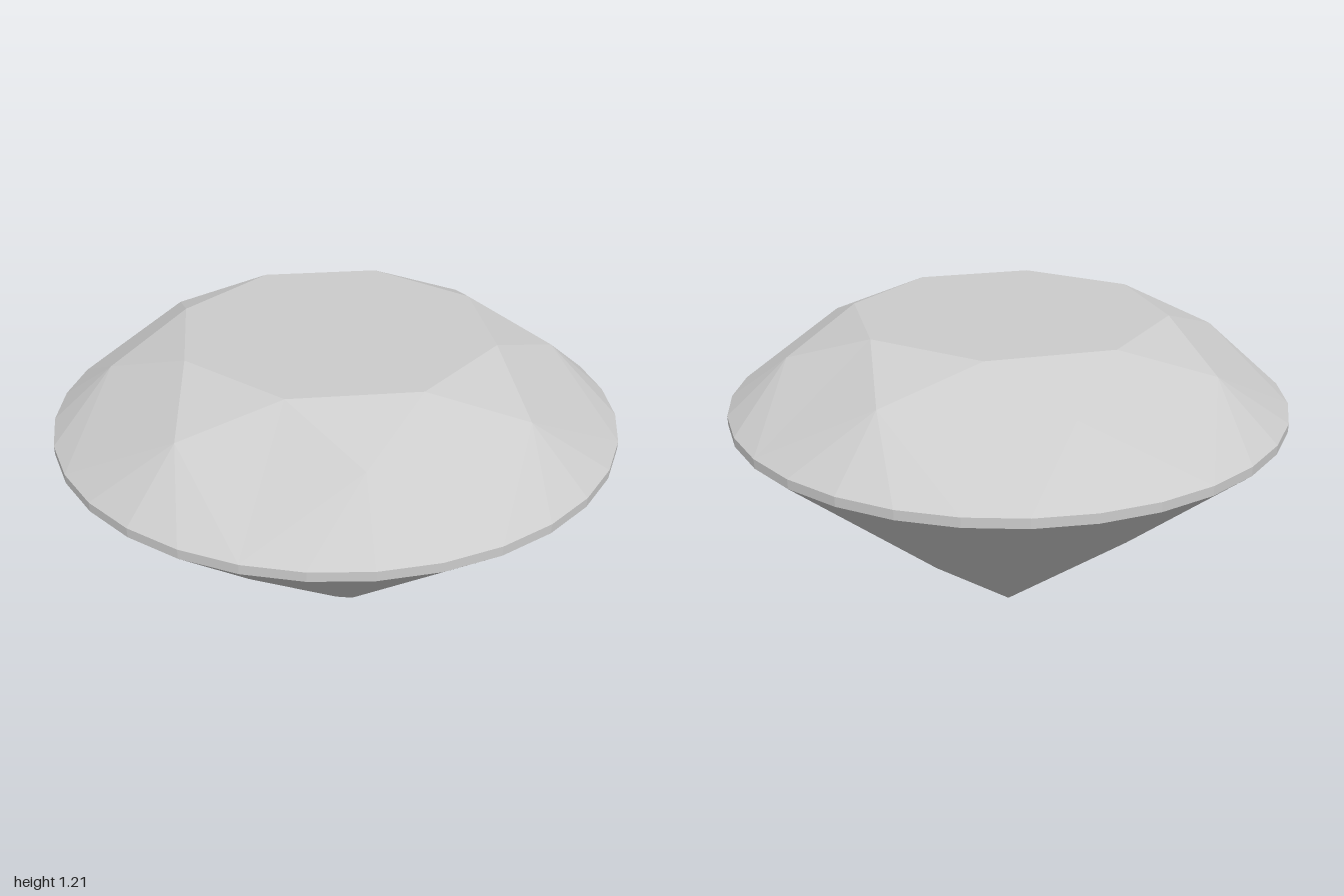
import * as THREE from 'three';

const STEP = Math.PI / 16;          // 32 girdle sides
const START = -STEP / 2;            // direction of the first main facet

// Point at radius r, height y, i girdle steps round from the first main facet
const ring = (r, y) => (i) => [r * Math.cos(START + i * STEP), y, r * Math.sin(START + i * STEP)];

const table = ring(0.564, 1.21);
const crownMid = ring(0.786, 1.099);
const girdleTop = ring(1.0048, 0.905);
const girdleBottom = ring(1.0048, 0.872);
const pavilionMid = ring(0.5, 0.401);
const culet = [0, 0, 0];

// Flat facets from convex polygons, each wound counter-clockwise from outside
function facetMesh(name, polygons, material) {
  const positions = [];
  for (const p of polygons) {
    for (let i = 1; i < p.length - 1; i++) positions.push(...p[0], ...p[i], ...p[i + 1]);
  }
  const geometry = new THREE.BufferGeometry();
  geometry.setAttribute('position', new THREE.Float32BufferAttribute(positions, 3));
  geometry.computeVertexNormals();
  const mesh = new THREE.Mesh(geometry, material);
  mesh.name = name;
  return mesh;
}

export function createModel() {
  const stone = new THREE.MeshStandardMaterial({ color: 0xcccccc });
  stone.name = 'pale stone';

  const tableFacet = [[]], stars = [], bezels = [], upperHalves = [];
  const girdle = [], lowerHalves = [], mains = [];

  for (let k = 0; k < 8; k++) {
    const i = k * 4;
    tableFacet[0].unshift(table(i));
    stars.push([table(i), table(i + 4), crownMid(i + 2)]);
    bezels.push([table(i), crownMid(i + 2), girdleTop(i), crownMid(i - 2)]);
    mains.push([girdleBottom(i), pavilionMid(i + 2), culet, pavilionMid(i - 2)]);
    // Four girdle sides between neighbouring mains
    for (let j = i; j < i + 4; j++) {
      upperHalves.push([crownMid(i + 2), girdleTop(j + 1), girdleTop(j)]);
      girdle.push([girdleTop(j), girdleTop(j + 1), girdleBottom(j + 1), girdleBottom(j)]);
      lowerHalves.push([girdleBottom(j), girdleBottom(j + 1), pavilionMid(i + 2)]);
    }
  }

  const model = new THREE.Group();
  model.name = 'cutGem';
  const crown = new THREE.Group();
  crown.name = 'crown';
  crown.add(
    facetMesh('table', tableFacet, stone),
    facetMesh('starFacets', stars, stone),
    facetMesh('bezelFacets', bezels, stone),
    facetMesh('upperHalfFacets', upperHalves, stone),
  );
  const pavilion = new THREE.Group();
  pavilion.name = 'pavilion';
  pavilion.add(
    facetMesh('lowerHalfFacets', lowerHalves, stone),
    facetMesh('pavilionMainFacets', mains, stone),
  );
  model.add(crown, facetMesh('girdle', girdle, stone), pavilion);
  return model;
}
